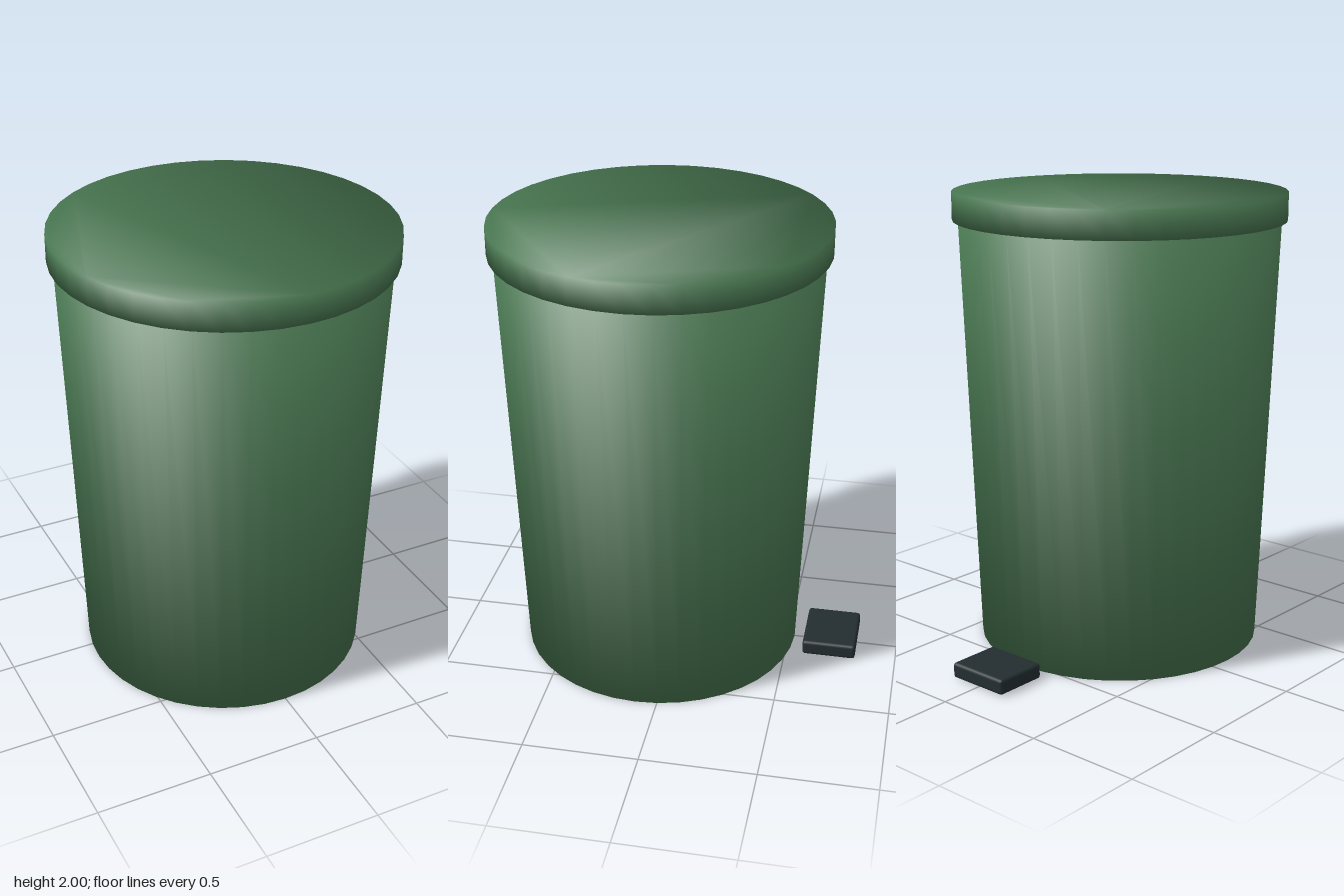
import * as THREE from 'three';
import { mergeVertices } from 'three/addons/utils/BufferGeometryUtils.js';
import { RoundedBoxGeometry } from 'three/addons/geometries/RoundedBoxGeometry.js';

const SIDES = 40;

// Closed tapered drum whose rim normals are blended between wall and cap
function drum(bottomRadius, topRadius, y0, y1) {
  const points = [];
  for (let i = 0; i < SIDES; i++) {
    const a = (i / SIDES) * Math.PI * 2;
    points.push(new THREE.Vector2(Math.cos(a), Math.sin(a)));
  }
  let geo = new THREE.ExtrudeGeometry(new THREE.Shape(points), { depth: 1, bevelEnabled: false });
  geo.rotateX(-Math.PI / 2);
  geo.deleteAttribute('uv');
  geo.deleteAttribute('normal');
  geo = mergeVertices(geo, 1e-4);
  geo.computeVertexNormals();

  const pos = geo.attributes.position;
  const nor = geo.attributes.normal;
  const n = new THREE.Vector3();
  for (let i = 0; i < pos.count; i++) {
    const x = pos.getX(i), z = pos.getZ(i), top = pos.getY(i) > 0.5;
    const r = top ? topRadius : bottomRadius;
    n.set(x, top ? 0.95 : -0.95, z).normalize();
    nor.setXYZ(i, n.x, n.y, n.z);
    pos.setXYZ(i, x * r, top ? y1 : y0, z * r);
  }
  return geo;
}

export function createModel() {
  const green = new THREE.MeshStandardMaterial({ color: 0x47744f });
  green.name = 'green plastic';
  const dark = new THREE.MeshStandardMaterial({ color: 0x232e30 });
  dark.name = 'dark plastic';

  const model = new THREE.Group();
  model.name = 'pedalBin';
  const add = (name, geometry, material, y, z) => {
    const mesh = new THREE.Mesh(geometry, material);
    mesh.name = name;
    mesh.position.set(0, y, z);
    model.add(mesh);
  };

  // Tapered bin and its overhanging lid
  add('body', drum(0.625, 0.697, 0, 1.885), green, 0, 0.097);
  add('lid', drum(0.722, 0.722, 1.88, 2), green, 0, 0.097);

  // Foot pedal, just clear of the back wall
  add('pedal', new RoundedBoxGeometry(0.288, 0.068, 0.24, 2, 0.014), dark, 0.038, -0.699);

  return model;
}
